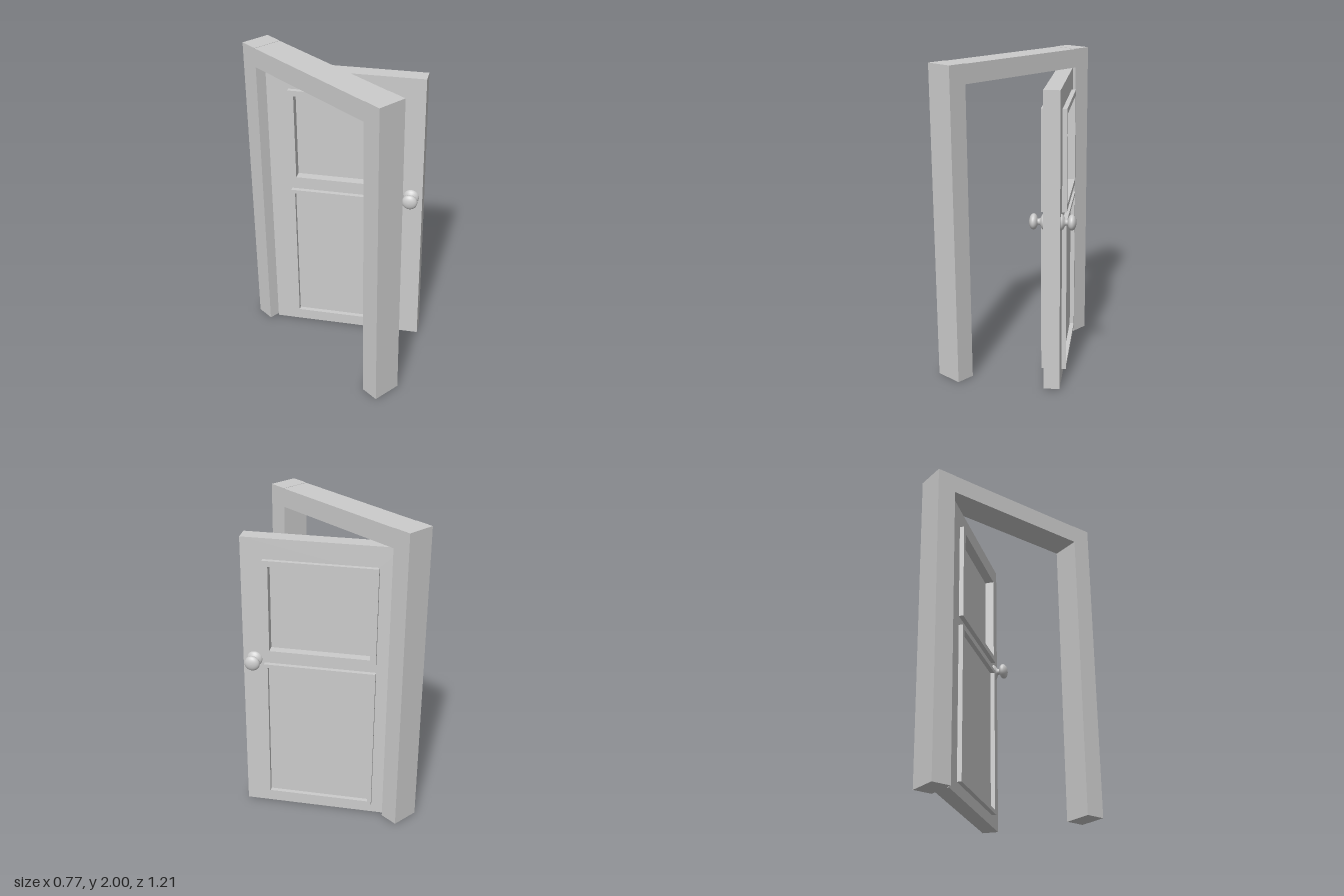
import * as THREE from 'three';

const material = new THREE.MeshStandardMaterial({ color: 0xcccccc });

function addMesh(parent, name, geometry, x = 0, y = 0, z = 0) {
  const mesh = new THREE.Mesh(geometry, material);
  mesh.name = name;
  mesh.position.set(x, y, z);
  parent.add(mesh);
  return mesh;
}

// Rectangle outline, usable as a shape or as a hole
function rect(Type, x0, x1, y0, y1) {
  const r = new Type();
  r.moveTo(x0, y0);
  r.lineTo(x1, y0);
  r.lineTo(x1, y1);
  r.lineTo(x0, y1);
  r.closePath();
  return r;
}

// Rectangular plate with one rectangular opening, centred on z
function plateWithOpening(outer, inner, depth) {
  const shape = rect(THREE.Shape, ...outer);
  shape.holes.push(rect(THREE.Path, ...inner));
  const geometry = new THREE.ExtrudeGeometry(shape, { depth, bevelEnabled: false });
  return geometry.translate(0, 0, -depth / 2);
}

// Rosette, neck and flattened round grip, turned around the y axis
function knobGeometry() {
  const points = [[0.05, 0], [0.049, 0.006], [0.042, 0.014], [0.03, 0.02], [0.02, 0.026], [0.018, 0.04]];
  for (let i = 0; i <= 12; i++) {
    const a = -1.15 + (i / 12) * (Math.PI / 2 + 1.15);
    points.push([Math.max(0, 0.049 * Math.cos(a)), 0.065 + 0.027 * Math.sin(a)]);
  }
  return new THREE.LatheGeometry(points.map(([r, y]) => new THREE.Vector2(r, y)), 32);
}

export function createModel() {
  const model = new THREE.Group();
  model.name = 'openDoor';

  // Frame: two posts and a header between them
  const frame = new THREE.Group();
  frame.name = 'doorFrame';
  model.add(frame);
  const frameX = -0.2925, frameWidth = 0.185;
  for (const side of [1, -1]) {
    addMesh(frame, side > 0 ? 'frontPost' : 'backPost',
      new THREE.BoxGeometry(frameWidth, 2, 0.122), frameX, 1, side * 0.546);
  }
  addMesh(frame, 'header', new THREE.BoxGeometry(frameWidth, 0.12, 0.97), frameX, 1.938, 0);

  // Door leaf, swung open around the back post
  const door = new THREE.Group();
  door.name = 'doorLeaf';
  door.position.set(0.004, 0, -0.106);
  door.rotation.y = -0.917;
  model.add(door);

  const half = 0.487, thickness = 0.1, rise = 0.028;
  const upper = [-0.35, 0.35, 1.115, 1.745];
  const lower = [-0.35, 0.35, 0.08, 1.055];
  const inset = ([x0, x1, y0, y1], d) => [x0 + d, x1 - d, y0 + d, y1 - d];
  const upperOpening = inset(upper, 0.036);
  const lowerOpening = inset(lower, 0.024);

  // Slab with the upper opening closed by a thin recessed panel
  addMesh(door, 'slab', plateWithOpening([-half, half, 0.008, 1.876], upperOpening, thickness));
  const [x0, x1, y0, y1] = upperOpening;
  addMesh(door, 'recessedPanel', new THREE.BoxGeometry(x1 - x0, y1 - y0, 0.042),
    0, (y0 + y1) / 2, 0);

  // Mouldings and knobs on both faces
  const knob = knobGeometry();
  for (const side of [1, -1]) {
    const z = side * (thickness + rise) / 2;
    addMesh(door, 'upperMoulding', plateWithOpening(upper, upperOpening, rise), 0, 0, z);
    addMesh(door, 'lowerMoulding', plateWithOpening(lower, lowerOpening, rise), 0, 0, z);
    addMesh(door, 'knob', knob, 0.416, 1.075, side * thickness / 2).rotation.x = side * Math.PI / 2;
  }

  return model;
}
